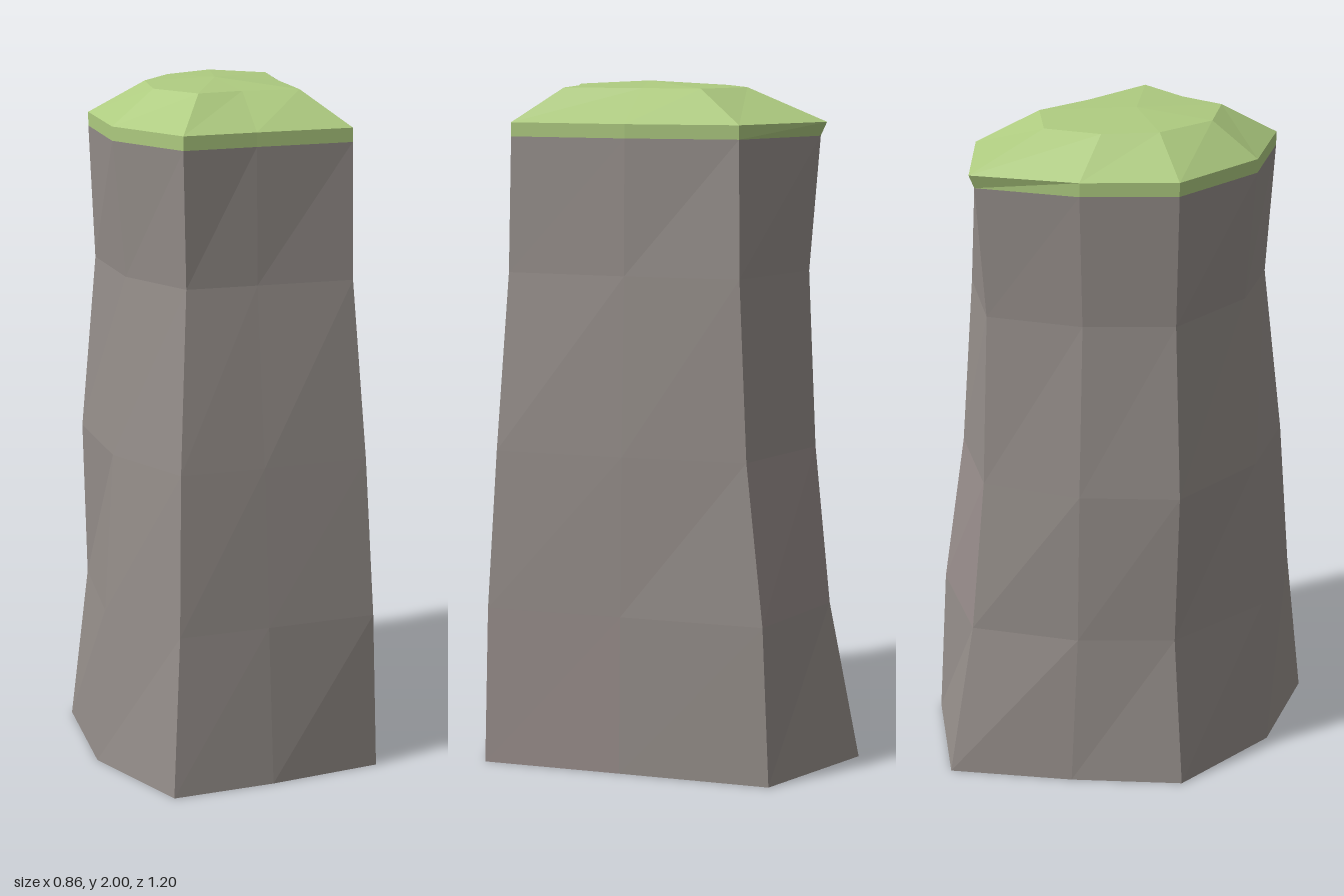
import * as THREE from 'three';

// heights of the rock cross-sections
const LEVELS = [0, 0.47, 0.94, 1.46, 1.85];

// vertical ridges of the rock, counterclockwise from above: [x, z] at each level
const RIDGES = [
  [[0.425, 0.455], [0.41, 0.445], [0.385, 0.42], [0.345, 0.39], [0.34, 0.38]],       // front left corner
  [[0.412, 0.04], [0.395, 0.04], [0.375, 0.04], [0.345, 0.04], [0.337, 0.04]],       // left side middle
  [[0.40, -0.41], [0.385, -0.385], [0.35, -0.325], [0.325, -0.295], [0.30, -0.285]], // back left corner
  [[0.055, -0.6], [0.055, -0.505], [0.05, -0.455], [0.05, -0.43], [0.05, -0.46]],    // back corner
  [[-0.21, -0.335], [-0.2, -0.3], [-0.2, -0.29], [-0.18, -0.26], [-0.19, -0.275]],   // back right middle
  [[-0.43, -0.08], [-0.375, -0.07], [-0.385, -0.065], [-0.34, -0.05], [-0.355, -0.055]], // right corner
  [[-0.39, 0.295], [-0.36, 0.285], [-0.33, 0.27], [-0.285, 0.25], [-0.32, 0.255]],   // front right corner
  [[-0.2, 0.597], [-0.175, 0.55], [-0.165, 0.51], [-0.14, 0.45], [-0.15, 0.472]],    // front corner
  [[0.1, 0.54], [0.09, 0.505], [0.08, 0.475], [0.065, 0.425], [0.06, 0.43]],         // front middle
];

// flat top edge of the grass, same order as the ridges
const CAP_TOP = [
  [0.21, 0.265], [0.185, 0.035], [0.185, -0.14], [0.03, -0.235], [-0.11, -0.14],
  [-0.195, 0], [-0.195, 0.19], [-0.085, 0.315], [0.045, 0.275],
];

// patches of slightly different stone: 'level,ridge' -> material index
const PATCHES = { '0,0': 1, '1,2': 1, '0,8': 2 };

// Joins stacked rings of points with quads, and closes the top with a fan if an apex is given.
function loft(rings, apex, materialFor = () => 0) {
  const faces = [[], [], []];
  rings.slice(1).forEach((top, level) => {
    const low = rings[level];
    low.forEach((a, i) => {
      const j = (i + 1) % low.length;
      faces[materialFor(level, i)].push(a, low[j], top[j], a, top[j], top[i]);
    });
  });
  if (apex) {
    const last = rings[rings.length - 1];
    last.forEach((p, i) => faces[0].push(p, last[(i + 1) % last.length], apex));
  }
  const geometry = new THREE.BufferGeometry().setFromPoints(faces.flat());
  let start = 0;
  faces.forEach((points, index) => {
    if (points.length) geometry.addGroup(start, points.length, index);
    start += points.length;
  });
  geometry.computeVertexNormals();
  return geometry;
}

function material(name, color) {
  const m = new THREE.MeshStandardMaterial({ color, flatShading: true, side: THREE.DoubleSide });
  m.name = name;
  return m;
}

export function createModel() {
  const group = new THREE.Group();
  group.name = 'grassyRockPillar';

  const stone = [
    material('stone', 0x958e8a),
    material('pinkStone', 0x988d8b),
    material('darkStone', 0x8f8884),
  ];
  const grass = material('grass', 0xaecb80);
  const ring = (points, y) => points.map(([x, z]) => new THREE.Vector3(x, y, z));

  // rock column, open underneath
  const rockRings = LEVELS.map((y, k) => ring(RIDGES.map((r) => r[k]), y));
  const rock = new THREE.Mesh(
    loft(rockRings, null, (level, i) => PATCHES[`${level},${i}`] ?? 0), stone);
  rock.name = 'rockColumn';
  group.add(rock);

  // grass cap: low rim, bevel and shallow domed top
  const rim = RIDGES.map((r) => r[4]);
  const lip = rim.map(([x, z], i) => (i === 3 ? [x, -0.478] : [x, z]));
  const cap = new THREE.Mesh(
    loft([ring(rim, 1.85), ring(lip, 1.89), ring(CAP_TOP, 1.985)], new THREE.Vector3(0, 2, 0.07)), grass);
  cap.name = 'grassCap';
  group.add(cap);

  return group;
}
